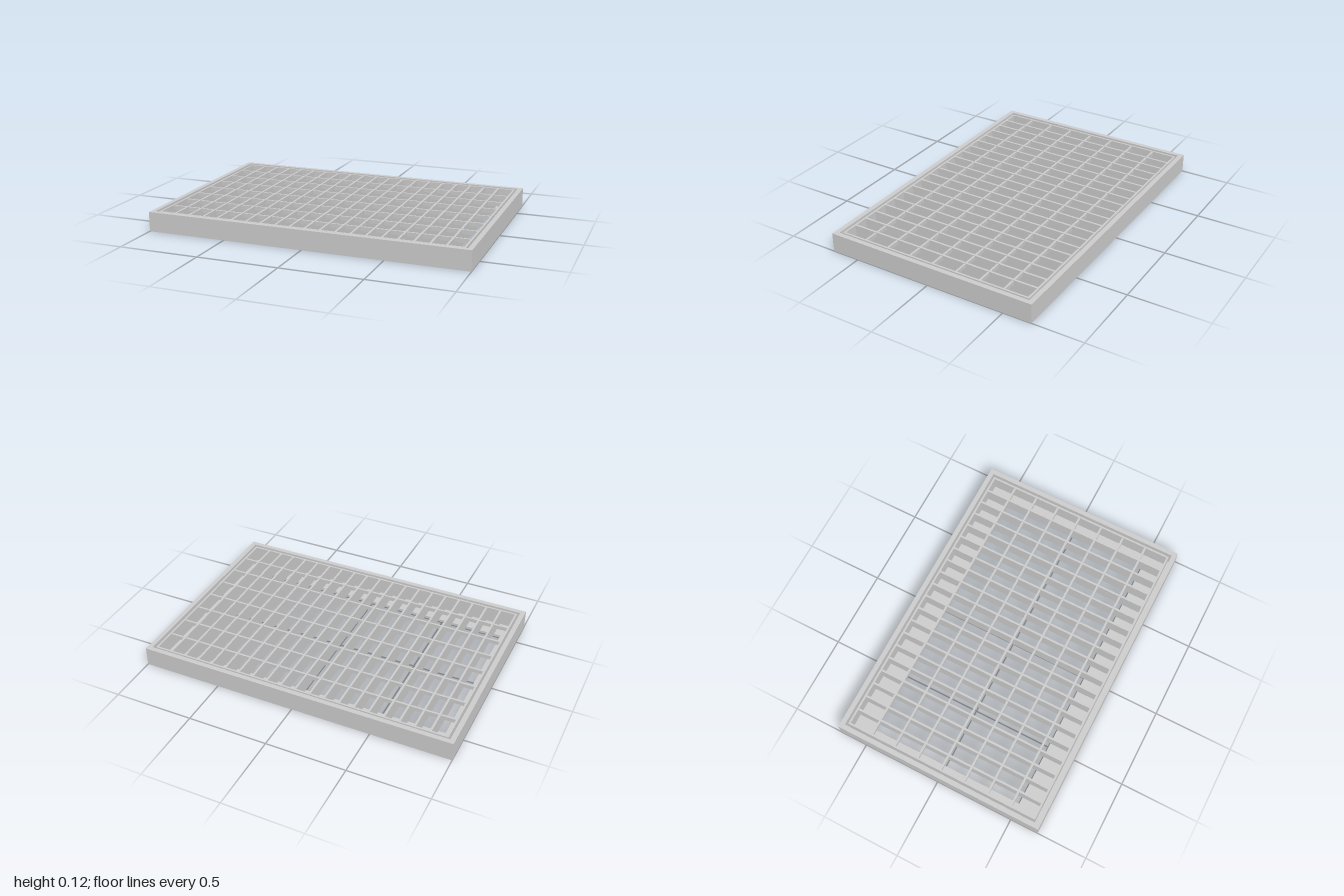
import * as THREE from 'three';

export function createModel() {
  const model = new THREE.Group();
  const material = new THREE.MeshStandardMaterial({ color: 0xcccccc });

  // Rectangular ring lying flat between heights y0 and y1
  function ring(name, parent, outerX, outerZ, innerX, innerZ, y0, y1) {
    const rect = (Path, x, z) => new Path([
      new THREE.Vector2(-x, -z), new THREE.Vector2(x, -z),
      new THREE.Vector2(x, z), new THREE.Vector2(-x, z),
    ]);
    const shape = rect(THREE.Shape, outerX, outerZ);
    shape.holes.push(rect(THREE.Path, innerX, innerZ));
    const geometry = new THREE.ExtrudeGeometry(shape, { depth: y1 - y0, bevelEnabled: false });
    geometry.rotateX(-Math.PI / 2).translate(0, y0, 0);
    const mesh = new THREE.Mesh(geometry, material);
    mesh.name = name;
    parent.add(mesh);
  }

  function bar(name, parent, w, d, x, z, y0, y1) {
    const mesh = new THREE.Mesh(new THREE.BoxGeometry(w, y1 - y0, d), material);
    mesh.name = name;
    mesh.position.set(x, (y0 + y1) / 2, z);
    parent.add(mesh);
  }

  // Outer frame: a wide bottom ledge with a thin upright rim
  const frame = new THREE.Group();
  frame.name = 'frame';
  const ledge = 0.016, top = 0.122;
  ring('ledge', frame, 1, 0.68, 0.895, 0.503, 0, ledge);
  ring('rim', frame, 1, 0.68, 0.97, 0.65, ledge, top);
  model.add(frame);

  // Grate resting on the ledge, with a small gap to the rim
  const grate = new THREE.Group();
  grate.name = 'grate';
  const gx = 0.955, gz = 0.637, wall = 0.012, gTop = 0.118;
  ring('grateBorder', grate, gx, gz, gx - wall, gz - wall, ledge, gTop);

  // Deep bearing bars running front to back
  const columns = 20, rows = 8, pitchX = 0.094, pitchZ = 0.158;
  for (let i = 1; i < columns; i++) {
    bar('bearingBar', grate, 0.013, 2 * (gz - wall), (i - columns / 2) * pitchX, 0, ledge, gTop);
  }
  // Shallow cross bars near the top
  for (let j = 1; j < rows; j++) {
    bar('crossBar', grate, 2 * (gx - wall), 0.013, 0, (j - rows / 2) * pitchZ, 0.09, gTop - 0.003);
  }
  model.add(grate);
  return model;
}
